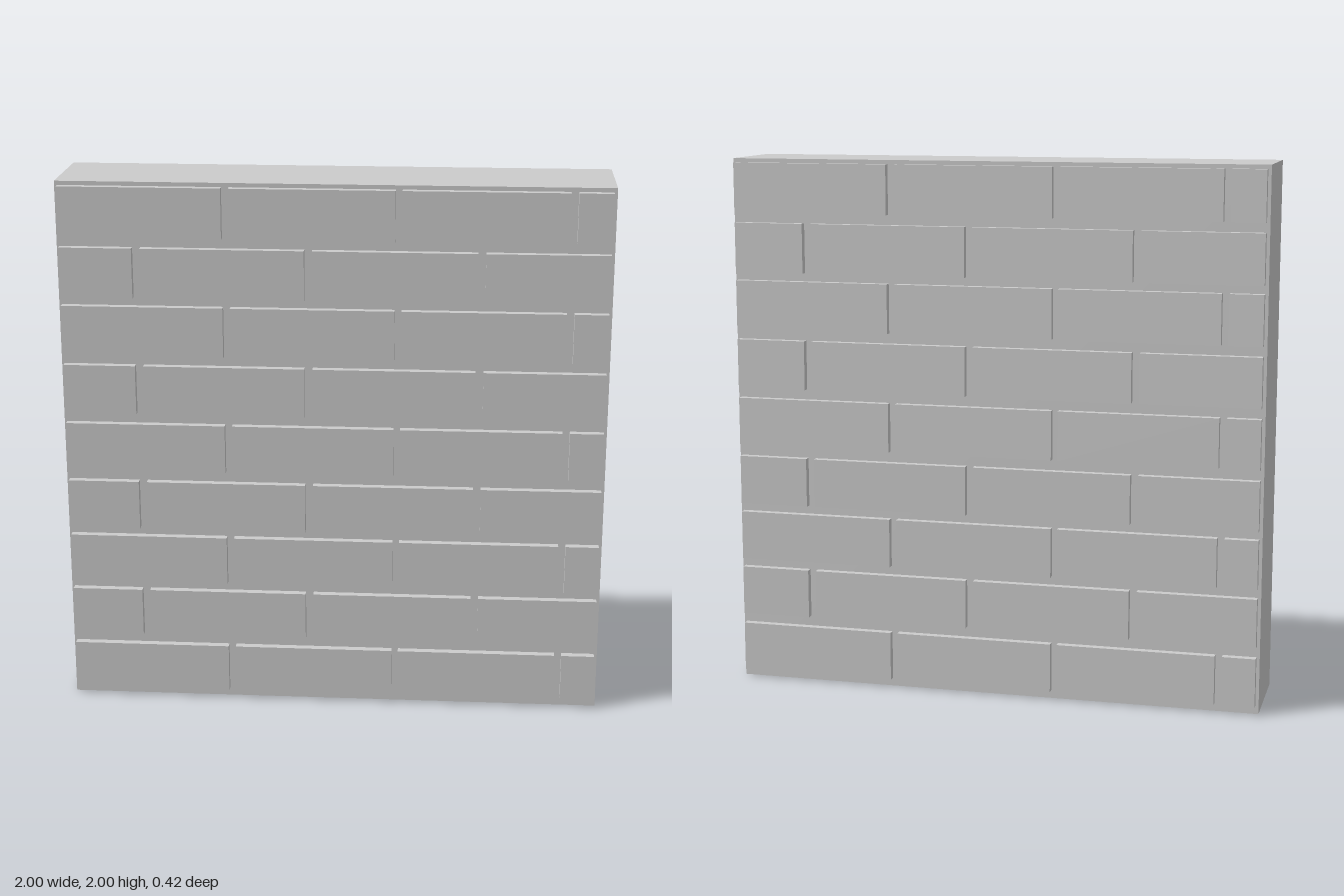
import * as THREE from 'three';

const CORE_HALF = 0.18;   // half thickness of the mortar slab
const FACE = 0.208;       // outer plane of the bricks
const BRICK_HEIGHT = 0.185;
const ROW_BOTTOMS = [0.031, 0.255, 0.473, 0.69, 0.915, 1.139, 1.362, 1.578, 1.8];

// Left and right end of every brick in the two alternating courses
const COURSES = [
  [[-0.99, -0.4], [-0.373, 0.222], [0.246, 0.838], [0.865, 0.988]],
  [[-0.99, -0.726], [-0.696, -0.104], [-0.075, 0.517], [0.546, 0.988]],
];

export function createModel() {
  const wall = new THREE.Group();
  wall.name = 'brickWall';
  const material = new THREE.MeshStandardMaterial({ color: 0xcccccc, flatShading: true });

  function box(name, w, h, d, x, y, z, parent) {
    const mesh = new THREE.Mesh(new THREE.BoxGeometry(w, h, d), material);
    mesh.name = name;
    mesh.position.set(x, y, z);
    parent.add(mesh);
  }

  // Solid mortar slab
  box('mortarSlab', 2, 2, CORE_HALF * 2, 0, 1, 0, wall);

  // Raised bricks in running bond, slightly sunk into the slab
  function brickFace(name) {
    const face = new THREE.Group();
    face.name = name;
    const inner = CORE_HALF - 0.01;
    ROW_BOTTOMS.forEach((bottom, row) => {
      for (const [x0, x1] of COURSES[row % 2]) {
        box('brick', x1 - x0, BRICK_HEIGHT, FACE - inner,
          (x0 + x1) / 2, bottom + BRICK_HEIGHT / 2, (FACE + inner) / 2, face);
      }
    });
    wall.add(face);
    return face;
  }

  // The back is the front turned half way round
  brickFace('frontBricks');
  brickFace('backBricks').rotation.y = Math.PI;

  return wall;
}
